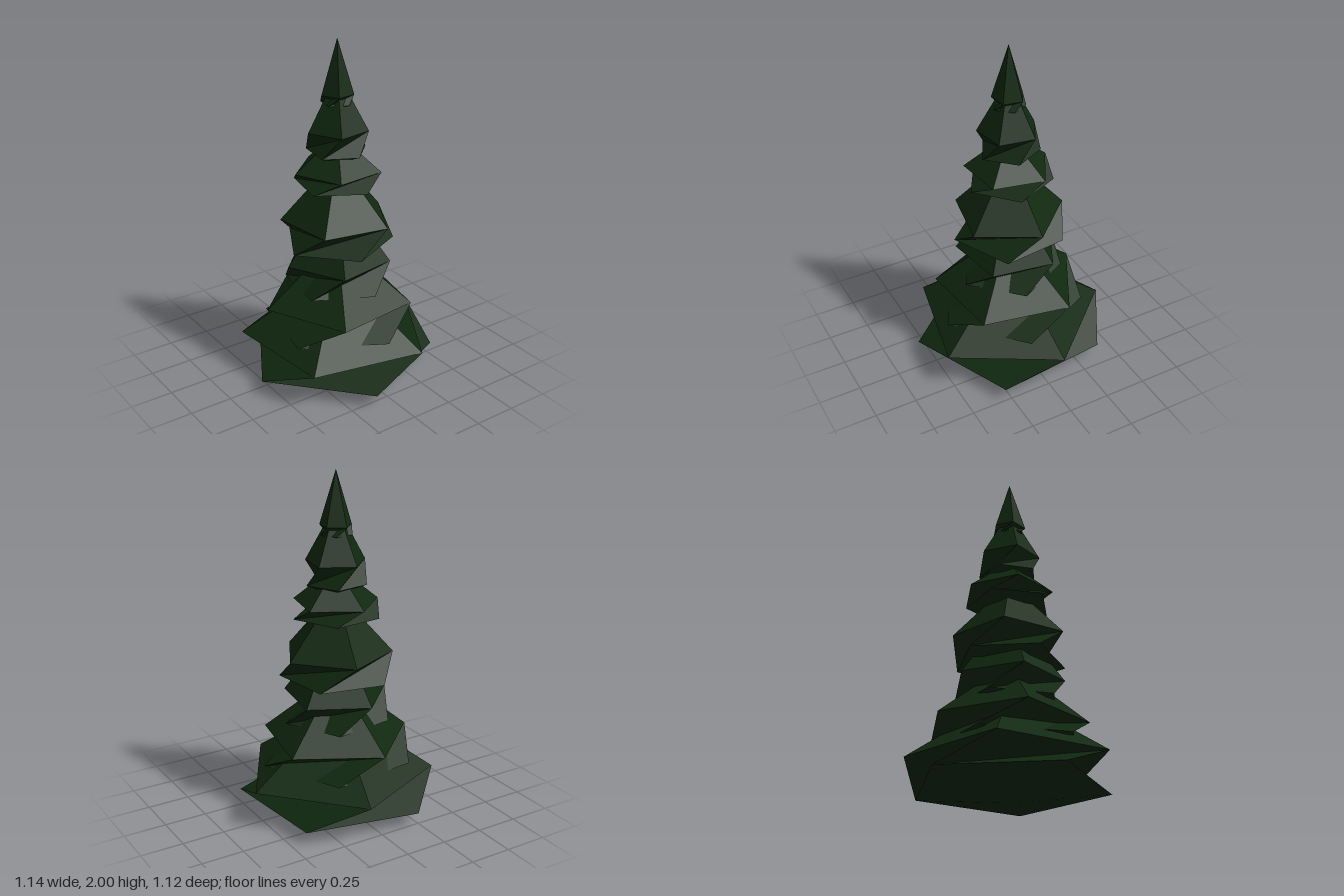
import * as THREE from 'three';

const SIDES = 5;

// One tier of foliage: two pentagon rings of the same radius, the lower one
// twisted 36 degrees ahead, closed by a shallow underside and a tall tip.
function tierGeometry({ radius, low, high, tip, angle, bottom = low - 0.57 * (high - low) }) {
  const ring = (y, degrees) => Array.from({ length: SIDES }, (_, k) => {
    const a = THREE.MathUtils.degToRad(degrees + (k * 360) / SIDES);
    return [radius * Math.cos(a), y, radius * Math.sin(a)];
  });
  const lower = ring(low, angle);
  const upper = ring(high, angle - 36);
  const base = [0, bottom, 0];
  const apex = [0, tip, 0];
  const points = [];
  for (let k = 0; k < SIDES; k++) {
    const n = (k + 1) % SIDES;
    points.push(
      lower[k], lower[n], base, // underside
      lower[k], upper[k], lower[n], // lit fold
      lower[n], upper[k], upper[n], // shaded fold
      upper[k], apex, upper[n], // cone
    );
  }
  const geometry = new THREE.BufferGeometry();
  geometry.setAttribute('position', new THREE.Float32BufferAttribute(points.flat(), 3));
  geometry.computeVertexNormals();
  return geometry;
}

export function createModel() {
  const tree = new THREE.Group();
  tree.name = 'pineTree';
  const darkGreen = new THREE.MeshStandardMaterial({ color: 0x10280f, flatShading: true });
  darkGreen.name = 'darkGreen';

  // Tiers from the ground up; angle turns the lower ring
  const tiers = [
    { radius: 0.574, low: 0.08, high: 0.22, tip: 0.62, angle: 30, bottom: 0 },
    { radius: 0.443, low: 0.3, high: 0.44, tip: 0.81, angle: 11 },
    { radius: 0.312, low: 0.55, high: 0.695, tip: 1.13, angle: 9 },
    { radius: 0.328, low: 0.81, high: 0.95, tip: 1.32, angle: 29 },
    { radius: 0.254, low: 1.17, high: 1.25, tip: 1.46, angle: 12 },
    { radius: 0.178, low: 1.36, high: 1.485, tip: 1.81, angle: 9 },
    { radius: 0.095, low: 1.64, high: 1.69, tip: 2, angle: 10 },
  ];
  tiers.forEach((tier, i) => {
    const mesh = new THREE.Mesh(tierGeometry(tier), darkGreen);
    mesh.name = `foliageTier${i + 1}`;
    tree.add(mesh);
  });
  return tree;
}
